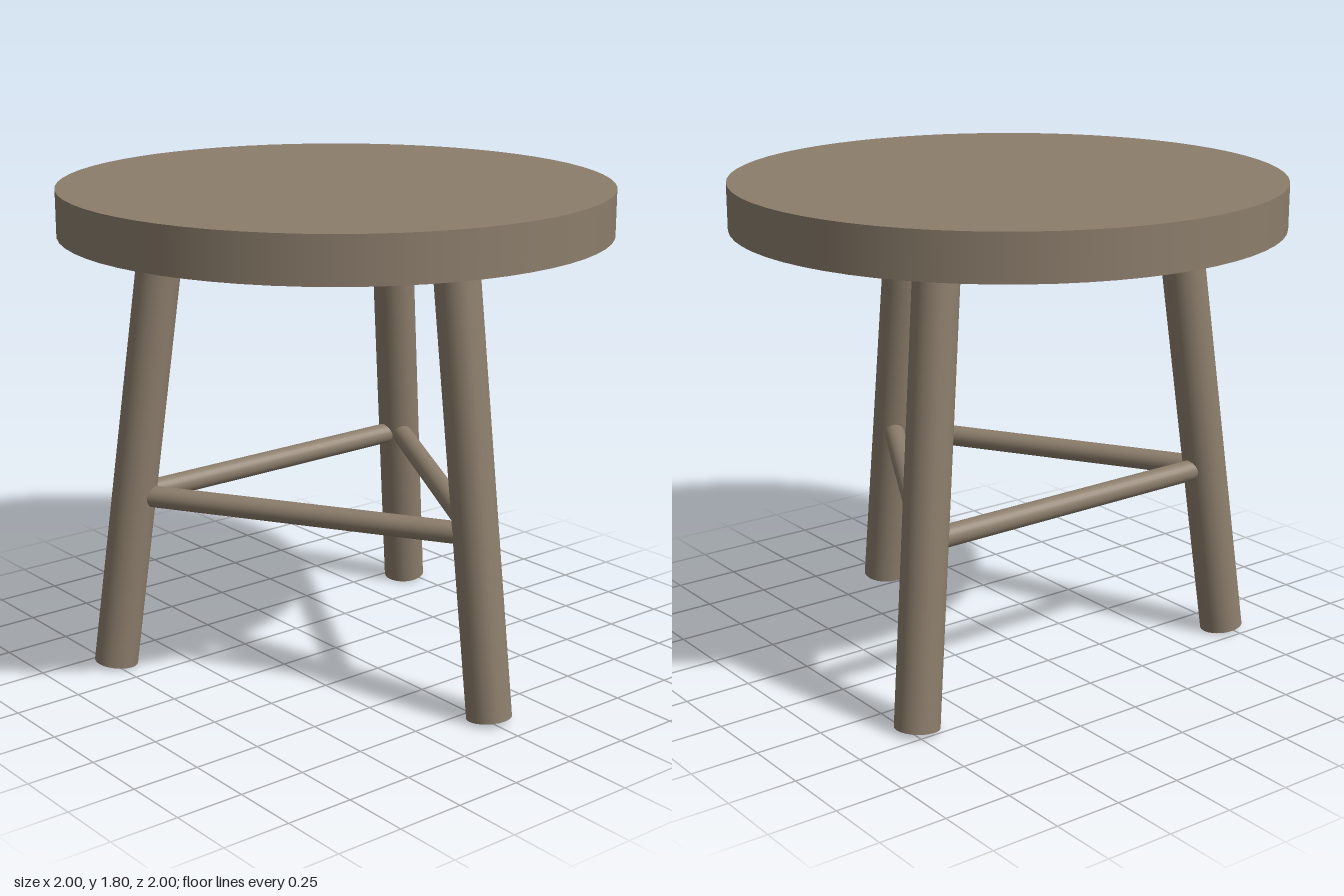
import * as THREE from 'three';

const wood = new THREE.MeshStandardMaterial({ color: 0x8b7d6b });
wood.name = 'wood';

// Round bar between two points
function bar(name, a, b, radius, sides) {
  const dir = b.clone().sub(a);
  const mesh = new THREE.Mesh(new THREE.CylinderGeometry(radius, radius, dir.length(), sides), wood);
  mesh.name = name;
  mesh.position.copy(a).add(b).multiplyScalar(0.5);
  mesh.quaternion.setFromUnitVectors(new THREE.Vector3(0, 1, 0), dir.normalize());
  return mesh;
}

export function createModel() {
  const stool = new THREE.Group();
  stool.name = 'stool';

  // Round seat slab
  const seat = new THREE.Mesh(new THREE.CylinderGeometry(1, 1, 0.167, 64), wood);
  seat.name = 'seat';
  seat.position.y = 1.7165;
  stool.add(seat);

  // Splayed legs, evenly spaced; the joints sit on each leg's axis
  const footY = 0.012, topY = 1.66, railY = 0.667;
  const footR = 0.84, topR = 0.624;
  const names = ['front', 'left', 'right'];
  const joints = names.map((name, i) => {
    const angle = 0.017 + (i * Math.PI * 2) / 3;
    const at = (r, y) => new THREE.Vector3(Math.sin(angle) * r, y, Math.cos(angle) * r);
    stool.add(bar(name + 'Leg', at(footR, footY), at(topR, topY), 0.081, 32));
    const t = (railY - footY) / (topY - footY);
    return at(THREE.MathUtils.lerp(footR, topR, t), railY);
  });

  // Stretchers joining neighbouring legs
  joints.forEach((joint, i) => {
    const next = (i + 1) % 3;
    stool.add(bar(names[i] + 'Stretcher', joint, joints[next], 0.04, 24));
  });

  return stool;
}
